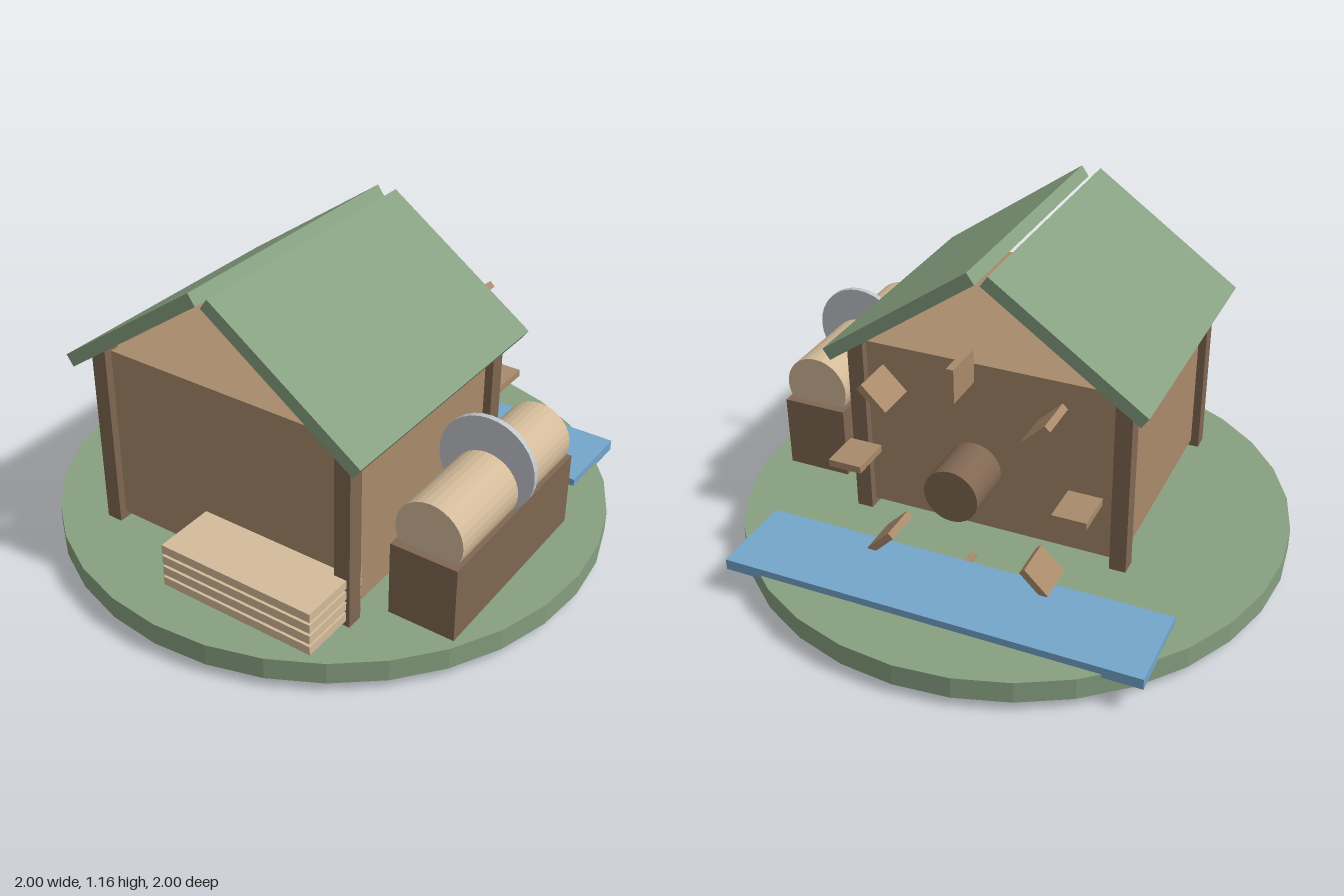
import * as THREE from 'three';

const mat = (name, color) => {
  const m = new THREE.MeshStandardMaterial({ color });
  m.name = name;
  return m;
};

export function createModel() {
  const green = mat('sage green', 0x87a081);
  const wood = mat('wood', 0xa98a6b);
  const darkWood = mat('dark wood', 0x806752);
  const paleWood = mat('pale wood', 0xd4bb9a);
  const steel = mat('steel', 0xc2c6cb);
  const blue = mat('water blue', 0x74a6cc);

  const root = new THREE.Group();
  root.name = 'sawmill';

  const add = (parent, name, geometry, material, x, y, z) => {
    const mesh = new THREE.Mesh(geometry, material);
    mesh.name = name;
    mesh.position.set(x, y, z);
    parent.add(mesh);
    return mesh;
  };
  const box = (w, h, d) => new THREE.BoxGeometry(w, h, d);
  // Faceted cylinder
  const drum = (r, h, sides = 32) => {
    const g = new THREE.CylinderGeometry(r, r, h, sides).toNonIndexed();
    g.computeVertexNormals();
    return g;
  };
  const drumX = (r, h, sides) => drum(r, h, sides).rotateZ(Math.PI / 2);
  const cx = -0.19; // centre of the house and the saw bench

  // Ground and stream
  add(root, 'ground', drum(1, 0.08), green, 0, 0.08, 0);
  add(root, 'stream', box(0.32, 0.04, 1.51), blue, 0.62, 0.127, 0);

  // House: solid body, corner posts and two roof slabs with open gables
  const house = new THREE.Group();
  house.name = 'house';
  root.add(house);
  add(house, 'walls', box(0.87, 0.653, 0.98), wood, cx, 0.472, 0);
  for (const sx of [-1, 1]) {
    for (const sz of [-1, 1]) {
      add(house, 'cornerPost', box(0.062, 0.69, 0.06), darkWood, cx + sx * 0.433, 0.465, sz * 0.49);
    }
  }
  for (const s of [-1, 1]) {
    const slab = add(house, 'roofSlab', box(1.025, 0.047, 0.675), green, cx, 0.954, s * 0.299);
    slab.rotation.x = s * 0.614;
  }

  // Saw bench with log and round blade
  const saw = new THREE.Group();
  saw.name = 'sawBench';
  root.add(saw);
  add(saw, 'bench', box(0.755, 0.27, 0.24), darkWood, cx, 0.306, 0.73);
  add(saw, 'log', drumX(0.12, 0.7), paleWood, cx, 0.502, 0.73);
  add(saw, 'blade', drumX(0.172, 0.02), steel, cx, 0.576, 0.73);

  // Stack of sawn planks
  for (let i = 0; i < 4; i++) {
    add(root, 'plank', box(0.28, 0.032, 0.59), paleWood, -0.71, 0.16 + i * 0.043, 0.213);
  }

  // Water wheel: hub and eight free paddles
  const wheel = new THREE.Group();
  wheel.name = 'waterWheel';
  wheel.position.set(0.457, 0.47, 0);
  root.add(wheel);
  add(wheel, 'hub', drumX(0.096, 0.19), darkWood, 0, 0, 0);
  for (let i = 0; i < 8; i++) {
    const a = (i * Math.PI) / 4;
    const paddle = add(wheel, 'paddle', box(0.15, 0.12, 0.026), wood, 0, 0.405 * Math.cos(a), 0.405 * Math.sin(a));
    paddle.rotation.x = a;
  }

  return root;
}
